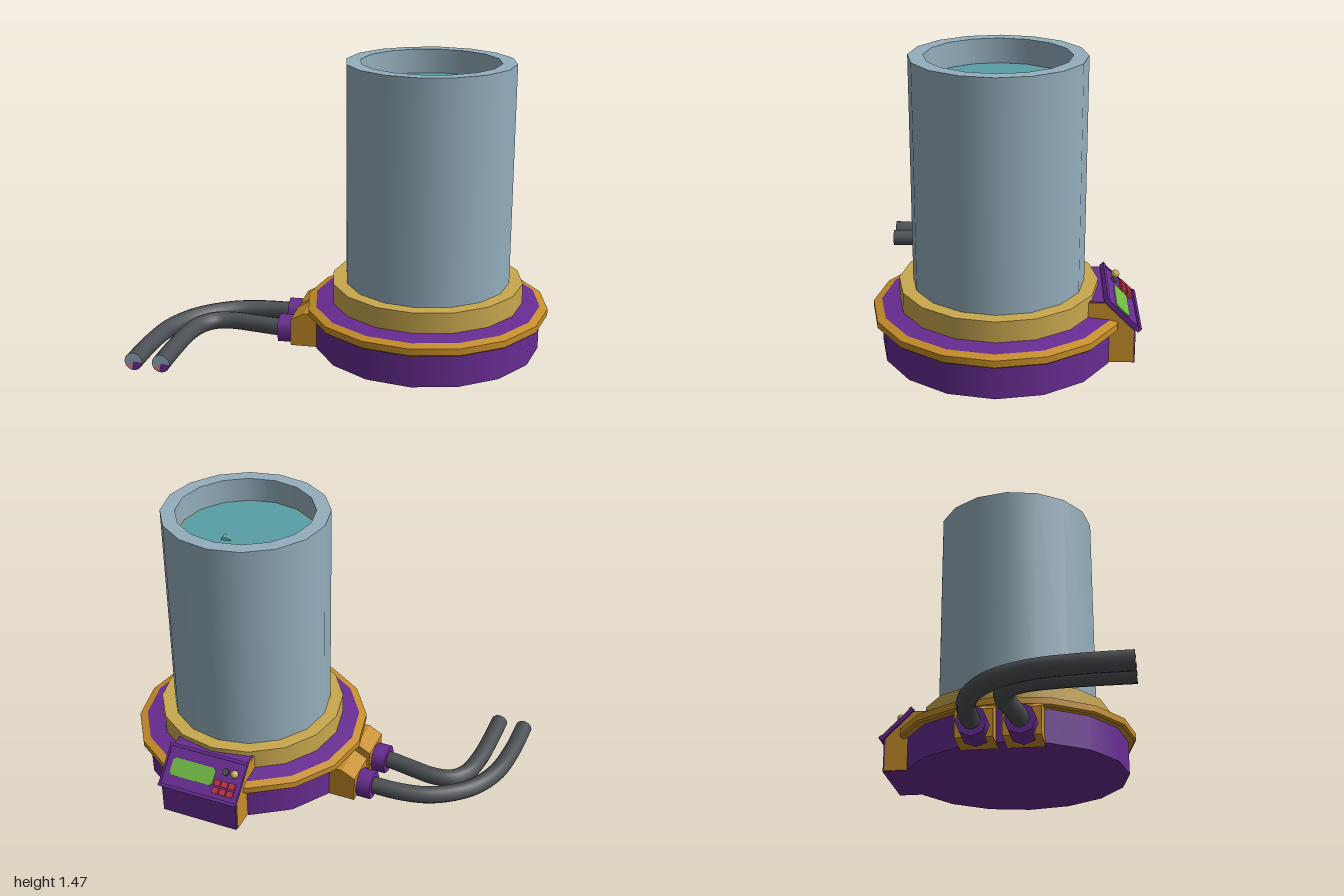
import * as THREE from 'three';
import { mergeGeometries } from 'three/addons/utils/BufferGeometryUtils.js';

const SIDES = 16;
const CX = 0.387, CZ = 0.008;

function material(name, color, side = THREE.FrontSide) {
  const m = new THREE.MeshStandardMaterial({ color, side });
  m.name = name;
  return m;
}

function add(parent, name, geometry, mat, x = 0, y = 0, z = 0) {
  const mesh = new THREE.Mesh(geometry, mat);
  mesh.name = name;
  mesh.position.set(x, y, z);
  parent.add(mesh);
  return mesh;
}

// Lathe with a crease at every profile point, smooth around the axis
function turned(points) {
  const bands = [];
  for (let i = 0; i < points.length - 1; i++) {
    bands.push(new THREE.LatheGeometry(
      [new THREE.Vector2(...points[i]), new THREE.Vector2(...points[i + 1])], SIDES));
  }
  return mergeGeometries(bands);
}

// Polygon in (a, y) extruded along z
function prism(points, depth) {
  const shape = new THREE.Shape(points.map(p => new THREE.Vector2(...p)));
  return new THREE.ExtrudeGeometry(shape, { depth, bevelEnabled: false });
}

export function createModel() {
  const model = new THREE.Group();
  model.name = 'tankWithHoses';

  const purple = material('purple', 0x682c92);
  const orange = material('orange', 0xc68d29);
  const tan = material('tan', 0xc8a84e);
  const steel = material('paleBlueGrey', 0x94aebc);
  const water = material('teal', 0x589fa6);
  const rubber = material('darkGrey', 0x4b4f53);
  const green = material('screenGreen', 0x6fb743);
  const red = material('buttonRed', 0xbe3548);
  const pink = material('pink', 0xc98f96);

  // Round body
  const body = new THREE.Group();
  body.name = 'body';
  body.position.set(CX, 0, CZ);
  model.add(body);
  add(body, 'base', turned([[0, 0.03], [0.57, 0.03], [0.57, 0.21]]), purple);
  add(body, 'flange', turned([[0.55, 0.2], [0.6, 0.2], [0.61, 0.21], [0.61, 0.243], [0.57, 0.255]]), orange);
  add(body, 'flangeTop', turned([[0.57, 0.255], [0.47, 0.268]]), purple);
  add(body, 'collar', turned([[0.482, 0.25], [0.482, 0.37], [0.4, 0.37]]), tan);
  add(body, 'tankWall', turned([[0.414, 0.36], [0.414, 1.475], [0.342, 1.475], [0.342, 1.34]]), steel);
  add(body, 'waterEdge', turned([[0.342, 1.352], [0.333, 1.352]]), orange);
  add(body, 'waterSurface', turned([[0.335, 1.355], [0, 1.355]]), water);
  const ripple = add(body, 'ripple', new THREE.BoxGeometry(0.045, 0.02, 0.05), water, 0.06, 1.352, -0.09);
  ripple.rotation.set(0.2, 0.2, 0.25);

  // Control box: profile seen from the side, a = -z
  const box = new THREE.Group();
  box.name = 'controlBox';
  model.add(box);
  const profile = [[0.3, 0.03], [0.645, 0.03], [0.645, 0.2], [0.5, 0.345], [0.405, 0.345], [0.3, 0.24]];
  const core = add(box, 'controlBoxCore', prism(profile, 0.41), purple, 0.183, 0, 0);
  core.rotation.y = Math.PI / 2;
  const sideProfile = [[0.3, 0.034], [0.636, 0.034], [0.636, 0.2], [0.496, 0.34], [0.405, 0.34], [0.3, 0.24]];
  for (const x of [0.177, 0.592]) {
    const plate = add(box, 'controlBoxSide', prism(sideProfile, 0.007), orange, x, 0, 0);
    plate.rotation.y = Math.PI / 2;
  }

  // Sloped control panel; local +z runs up the slope
  const panel = new THREE.Group();
  panel.name = 'controlPanel';
  panel.position.set(CX, 0.276, -0.579);
  panel.rotation.x = -0.77;
  box.add(panel);
  add(panel, 'panelPlate', new THREE.BoxGeometry(0.43, 0.014, 0.222), purple);
  for (const z of [-0.106, 0.106]) {
    add(panel, 'panelRail', new THREE.BoxGeometry(0.43, 0.026, 0.016), purple, 0, 0.005, z);
  }
  for (const x of [-0.21, 0.21]) {
    add(panel, 'panelSideRail', new THREE.BoxGeometry(0.01, 0.02, 0.21), purple, x, 0.003, 0);
  }
  const w = 0.12, h = 0.045, c = 0.014;
  const screenShape = [[-w, -h + c], [-w + c, -h], [w - c, -h], [w, -h + c],
    [w, h - c], [w - c, h], [-w + c, h], [-w, h - c]];
  const screen = add(panel, 'screen', prism(screenShape, 0.006), green, 0.055, 0.006, 0);
  screen.rotation.x = -Math.PI / 2;
  for (const x of [-0.172, -0.132, -0.092]) {
    for (const z of [-0.061, -0.022]) {
      add(panel, 'button', new THREE.BoxGeometry(0.034, 0.018, 0.031), red, x, 0.013, z);
    }
  }
  add(panel, 'knobStem', new THREE.CylinderGeometry(0.01, 0.01, 0.02, 8), purple, -0.17, 0.012, 0.04);
  add(panel, 'knob', new THREE.SphereGeometry(0.021, 12, 8), tan, -0.17, 0.025, 0.04);
  add(panel, 'dial', new THREE.CylinderGeometry(0.018, 0.018, 0.015, 12), rubber, -0.117, 0.012, 0.04);

  // Hose sockets, couplings and hoses
  const HY = 0.083;
  const hoses = [
    { z: -0.112, path: [[-0.3, -0.112], [-0.5, -0.11], [-0.66, -0.07], [-0.82, 0.05], [-0.91, 0.22], [-0.943, 0.43], [-0.95, 0.658]] },
    { z: 0.113, path: [[-0.3, 0.115], [-0.38, 0.11], [-0.5, 0.09], [-0.62, 0.075], [-0.71, 0.095], [-0.77, 0.165], [-0.8, 0.3], [-0.81, 0.48], [-0.812, 0.658]] },
  ];
  const socketProfile = [[-0.28, 0.027], [-0.1, 0.027], [-0.1, 0.203], [-0.21, 0.203], [-0.28, 0.165]];
  for (const { z, path } of hoses) {
    const hose = new THREE.Group();
    hose.name = 'hoseAssembly';
    model.add(hose);
    add(hose, 'hoseSocket', prism(socketProfile, 0.182), orange, 0, 0, z - 0.091);
    const coupling = add(hose, 'hoseCoupling', new THREE.CylinderGeometry(0.076, 0.076, 0.155, 8), purple, -0.278, 0.081, z);
    coupling.rotation.z = Math.PI / 2;
    const curve = new THREE.CatmullRomCurve3(path.map(([x, pz]) => new THREE.Vector3(x, HY, pz)));
    add(hose, 'hose', new THREE.TubeGeometry(curve, 40, 0.045, 12), rubber);

    // Cut end of the hose in three coloured sectors
    const [ex, ez] = path[path.length - 1];
    const sectors = [[steel, -0.1, 3.7], [pink, 3.6, 0.9], [purple, 4.5, 1.6832]];
    for (const [mat, start, sweep] of sectors) {
      add(hose, 'hoseEnd', new THREE.CircleGeometry(0.045, 8, start, sweep), mat, ex, HY, ez);
    }
  }

  return model;
}
